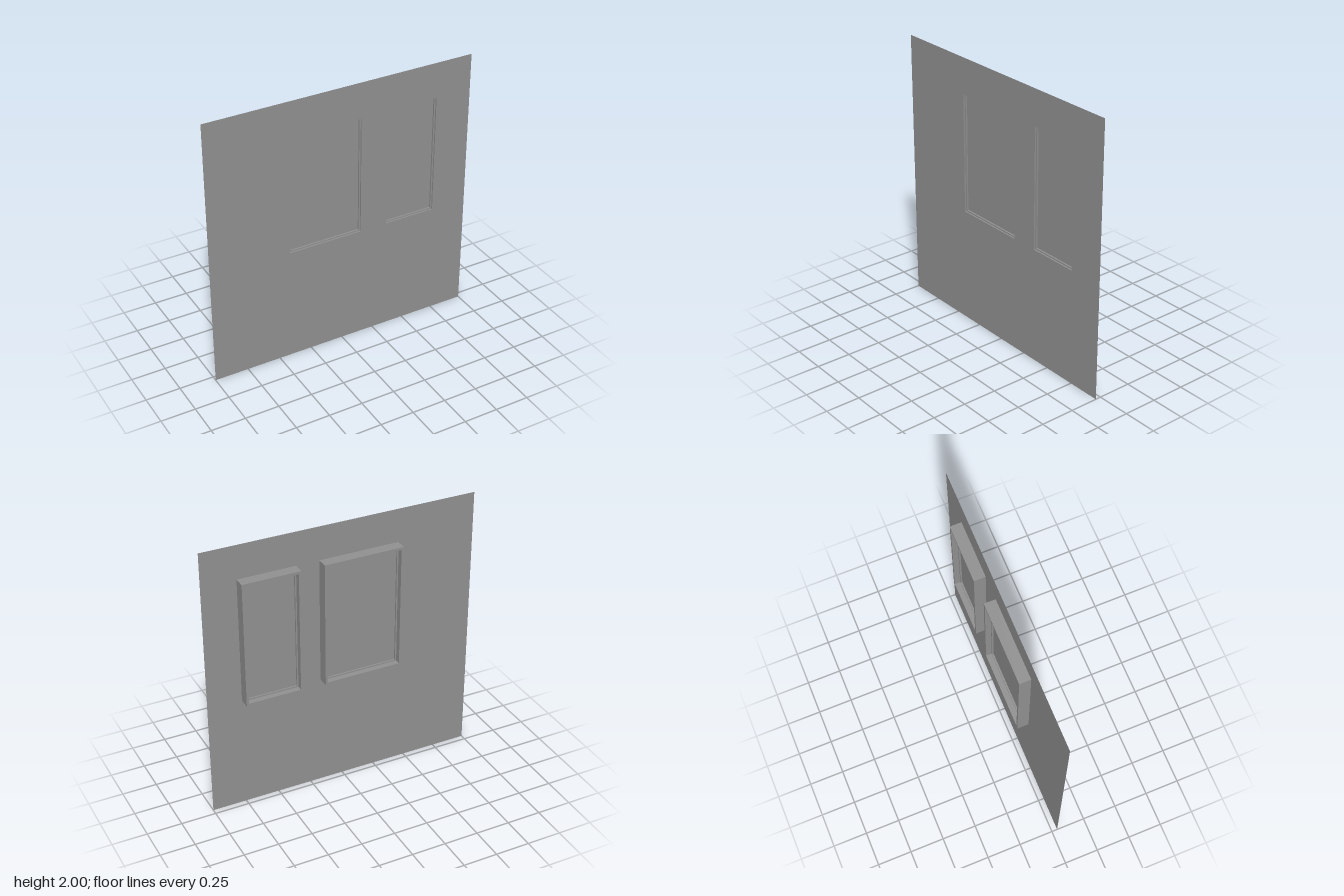
import * as THREE from 'three';

const FRONT = 0.041, BACK = -0.041;

const grey = new THREE.MeshStandardMaterial({ color: 0x909090 });
grey.name = 'grey';
const sheetGrey = new THREE.MeshStandardMaterial({ color: 0x909090, side: THREE.DoubleSide });
sheetGrey.name = 'sheet grey';

// Window openings: left, right, bottom, top
const openings = [
  { name: 'wideWindow', x0: -0.42, x1: 0.165, y0: 0.835, y1: 1.755 },
  { name: 'narrowWindow', x0: 0.333, x1: 0.75, y0: 0.835, y1: 1.755 },
];

// Traces an opening shrunk by an inset
function rect(path, o, inset = 0) {
  path.moveTo(o.x0 + inset, o.y0 + inset);
  path.lineTo(o.x1 - inset, o.y0 + inset);
  path.lineTo(o.x1 - inset, o.y1 - inset);
  path.lineTo(o.x0 + inset, o.y1 - inset);
  path.closePath();
  return path;
}

// Rectangular ring between two insets, from zBack to zFront
function ring(name, o, outer, inner, zBack, zFront) {
  const shape = rect(new THREE.Shape(), o, outer);
  shape.holes.push(rect(new THREE.Path(), o, inner));
  const geo = new THREE.ExtrudeGeometry(shape, { depth: zFront - zBack, bevelEnabled: false });
  geo.translate(0, 0, zBack);
  const mesh = new THREE.Mesh(geo, grey);
  mesh.name = name;
  return mesh;
}

export function createModel() {
  const model = new THREE.Group();
  model.name = 'wallWithWindows';

  // Thin wall sheet, flush with the front of the frames
  const wallShape = rect(new THREE.Shape(), { x0: -1, x1: 1, y0: 0, y1: 2 });
  openings.forEach((o) => wallShape.holes.push(rect(new THREE.Path(), o)));
  const wall = new THREE.Mesh(new THREE.ShapeGeometry(wallShape), sheetGrey);
  wall.name = 'wall';
  wall.position.z = FRONT;
  model.add(wall);

  for (const o of openings) {
    const win = new THREE.Group();
    win.name = o.name;
    // Deep outer frame and the slim sash holding the pane
    win.add(ring('frame', o, 0, 0.018, BACK, FRONT));
    win.add(ring('sash', o, 0.018, 0.028, 0, 0.03));
    // Pane
    const w = o.x1 - o.x0 - 0.056, h = o.y1 - o.y0 - 0.056;
    const pane = new THREE.Mesh(new THREE.BoxGeometry(w, h, 0.006), grey);
    pane.name = 'pane';
    pane.position.set((o.x0 + o.x1) / 2, (o.y0 + o.y1) / 2, 0.015);
    win.add(pane);
    model.add(win);
  }
  return model;
}
